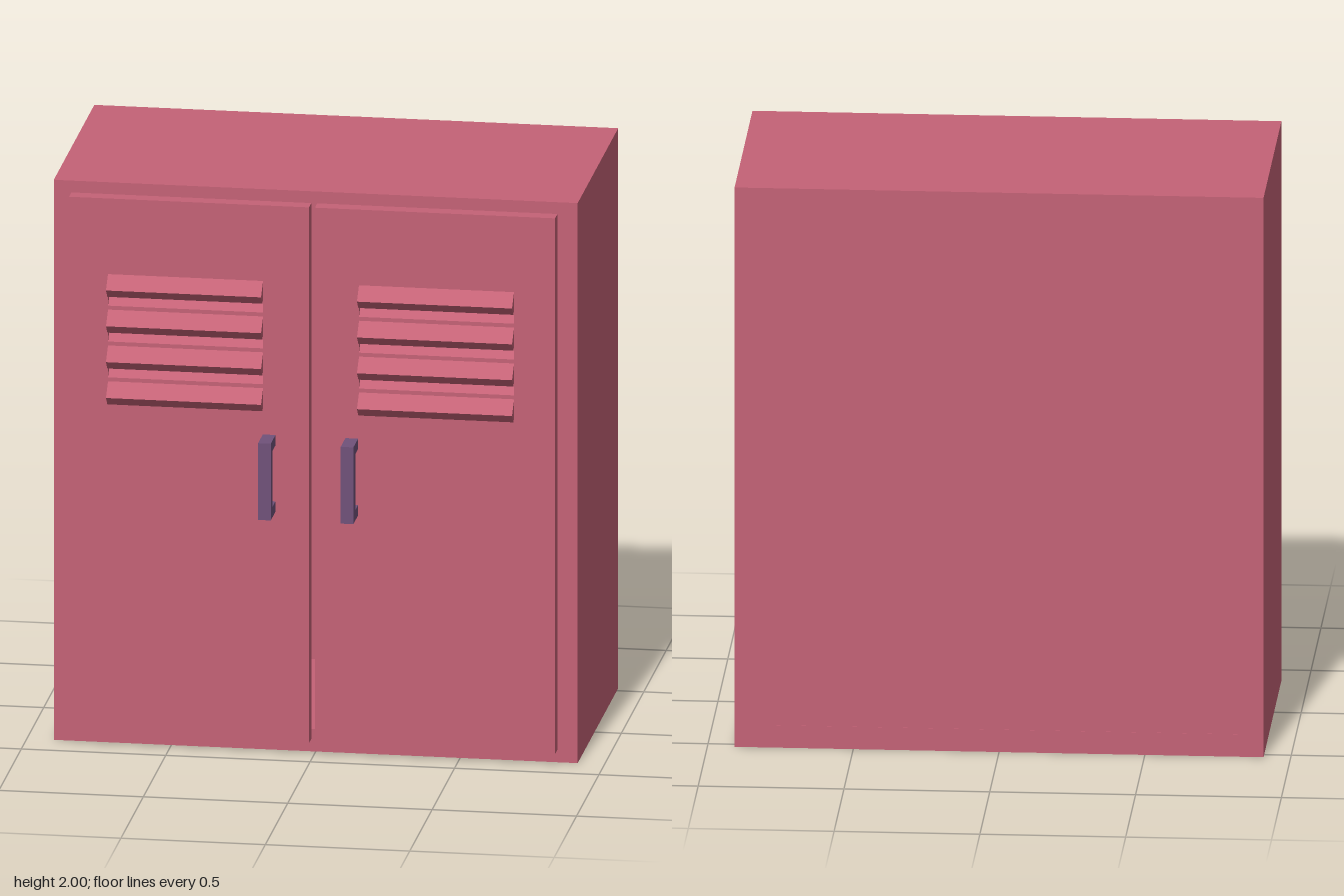
import * as THREE from 'three';

const paint = new THREE.MeshStandardMaterial({ color: 0xc46276 });
const metal = new THREE.MeshStandardMaterial({ color: 0x70527a });

function add(parent, name, geometry, material) {
  const mesh = new THREE.Mesh(geometry, material);
  mesh.name = name;
  parent.add(mesh);
  return mesh;
}

function rectangle(Type, x0, x1, y0, y1) {
  const r = new Type();
  r.moveTo(x0, y0).lineTo(x1, y0).lineTo(x1, y1).lineTo(x0, y1).closePath();
  return r;
}

// Sheet with a rectangular opening, spanning z0 to z1
function framedSheet(outer, hole, z0, z1) {
  const shape = rectangle(THREE.Shape, ...outer);
  shape.holes.push(rectangle(THREE.Path, ...hole));
  return new THREE.ExtrudeGeometry(shape, { depth: z1 - z0, bevelEnabled: false }).translate(0, 0, z0);
}

// Side profile of [z, y] points, extruded sideways from x0 to x1
function sideProfile(points, x0, x1) {
  const shape = new THREE.Shape(points.map(([z, y]) => new THREE.Vector2(z, y)));
  return new THREE.ExtrudeGeometry(shape, { depth: x1 - x0, bevelEnabled: false })
    .rotateY(-Math.PI / 2).translate(x1, 0, 0);
}

const FRONT = 0.375, DOOR = 0.428, BACK = -0.53;

function makeDoor(name, panel, vent, grip) {
  const door = new THREE.Group();
  door.name = name;

  // Panel with the vent opening
  add(door, 'doorPanel', framedSheet([...panel, 0.045, 1.958],
    [...vent, 1.24, 1.685], FRONT, DOOR), paint);

  // Four louvres: a slanted lip, with a flat bar and sloping sill above it
  for (let i = 0; i < 4; i++) {
    const y = 1.643 - i * 0.128;
    add(door, 'louvre', sideProfile([
      [0.474, y], [0.442, y - 0.032], [DOOR, y - 0.018], [0.38, y + 0.03],
      [0.38, y + 0.107], [DOOR - 0.001, y + 0.06], [DOOR - 0.001, y + 0.046],
    ], ...vent), paint);
  }

  // Square-cornered pull handle
  add(door, 'handle', sideProfile([
    [DOOR, 0.866], [0.534, 0.866], [0.534, 1.14], [DOOR, 1.14],
    [DOOR, 1.103], [0.49, 1.103], [0.49, 0.903], [DOOR, 0.903],
  ], ...grip), metal);
  return door;
}

export function createModel() {
  const model = new THREE.Group();
  model.name = 'cabinet';

  // Hollow body: surrounding walls and a back
  const body = new THREE.Group();
  body.name = 'body';
  model.add(body);
  add(body, 'walls', framedSheet([-0.907, 0.907, 0, 2], [-0.827, 0.827, 0.08, 1.92], BACK, FRONT), paint);
  add(body, 'backPanel', new THREE.BoxGeometry(1.66, 1.85, 0.08), paint)
    .position.set(0, 1, BACK + 0.041);

  model.add(makeDoor('rightDoor', [-0.846, -0.015], [-0.711, -0.174], [-0.175, -0.131]));
  model.add(makeDoor('leftDoor', [0.005, 0.837], [0.158, 0.695], [0.111, 0.155]));
  return model;
}
